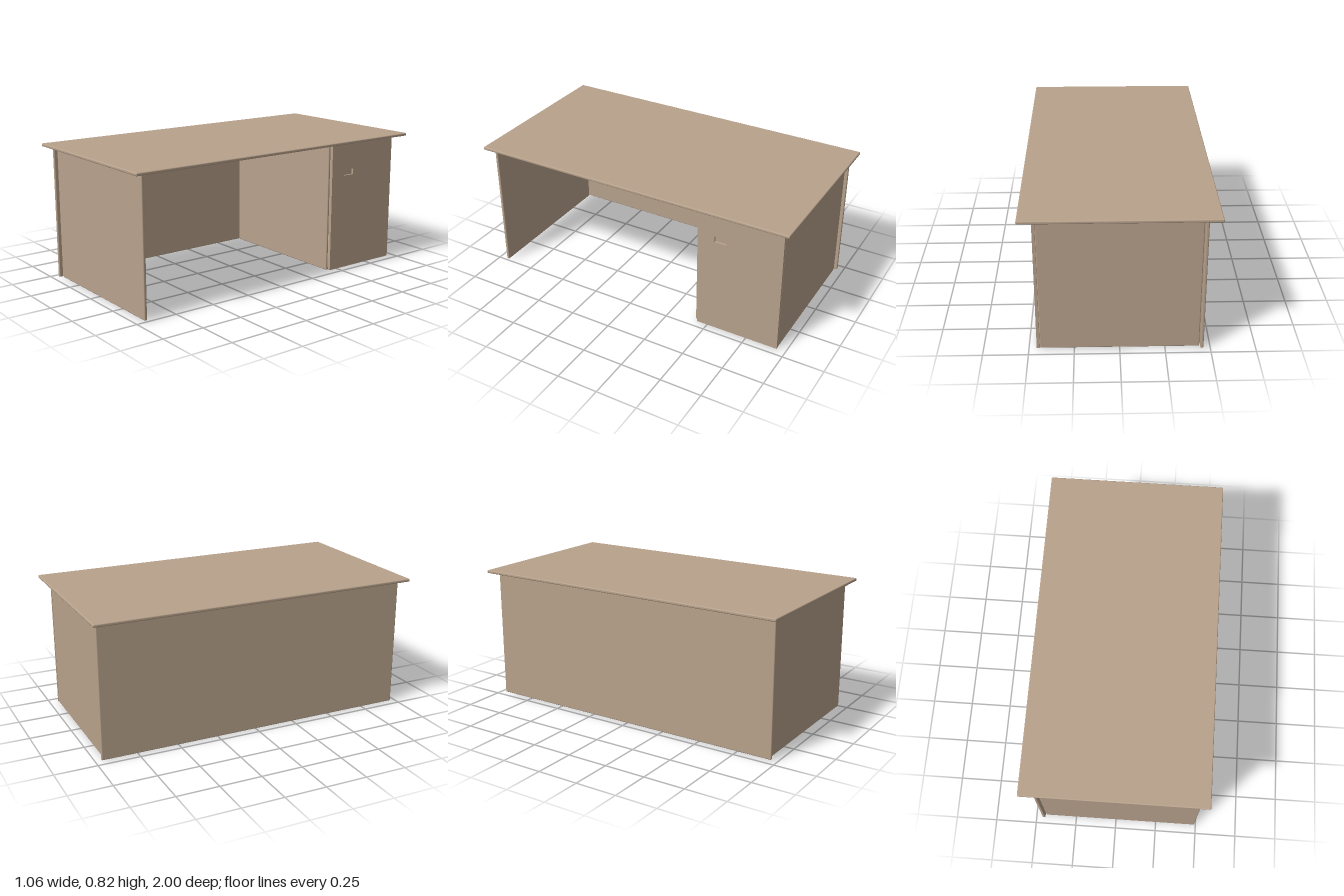
import * as THREE from 'three';
import { RoundedBoxGeometry } from 'three/addons/geometries/RoundedBoxGeometry.js';

export function createModel() {
  const desk = new THREE.Group();
  desk.name = 'desk';
  const wood = new THREE.MeshStandardMaterial({ color: 0xb8a28c });
  wood.name = 'tan wood';

  // Rounded board given by its extents on each axis
  const board = (name, [x0, x1], [y0, y1], [z0, z1], parent = desk) => {
    const geometry = new RoundedBoxGeometry(x1 - x0, y1 - y0, z1 - z0, 3, 0.006);
    const mesh = new THREE.Mesh(geometry, wood);
    mesh.name = name;
    mesh.position.set((x0 + x1) / 2, (y0 + y1) / 2, (z0 + z1) / 2);
    parent.add(mesh);
    return mesh;
  };

  const height = [0.004, 0.804];
  board('desktop', [-0.532, 0.532], [0.805, 0.823], [-1, 1]);
  board('backPanel', [-0.462, -0.444], height, [-0.965, 0.965]);
  board('endPanel', [-0.44, 0.492], height, [0.929, 0.947]);

  // Cabinet at the far end
  const cabinet = new THREE.Group();
  cabinet.name = 'cabinet';
  desk.add(cabinet);
  board('cabinetInnerSide', [-0.44, 0.44], height, [-0.434, -0.418], cabinet);
  board('cabinetOuterSide', [-0.44, 0.44], height, [-0.947, -0.929], cabinet);
  board('cabinetBottom', [-0.434, 0.43], [0, 0.018], [-0.931, -0.432], cabinet);

  // Door outline in (-z, y), with a slot cut for the finger pull
  const rect = (path, x0, x1, y0, y1) => {
    path.moveTo(x0, y0);
    path.lineTo(x1, y0);
    path.lineTo(x1, y1);
    path.lineTo(x0, y1);
    path.closePath();
    return path;
  };
  const outline = rect(new THREE.Shape(), 0.435, 0.947, 0.004, 0.804);
  outline.holes.push(rect(new THREE.Path(), 0.535, 0.61, 0.595, 0.631));
  const doorGeometry = new THREE.ExtrudeGeometry(outline, { depth: 0.016, bevelEnabled: false });
  const door = new THREE.Mesh(doorGeometry, wood);
  door.name = 'door';
  door.rotation.y = Math.PI / 2;
  door.position.x = 0.441;
  cabinet.add(door);

  // Back of the finger pull
  const pull = new THREE.Mesh(new THREE.BoxGeometry(0.004, 0.044, 0.083), wood);
  pull.name = 'fingerPullBack';
  pull.position.set(0.443, 0.613, -0.5725);
  cabinet.add(pull);

  return desk;
}
